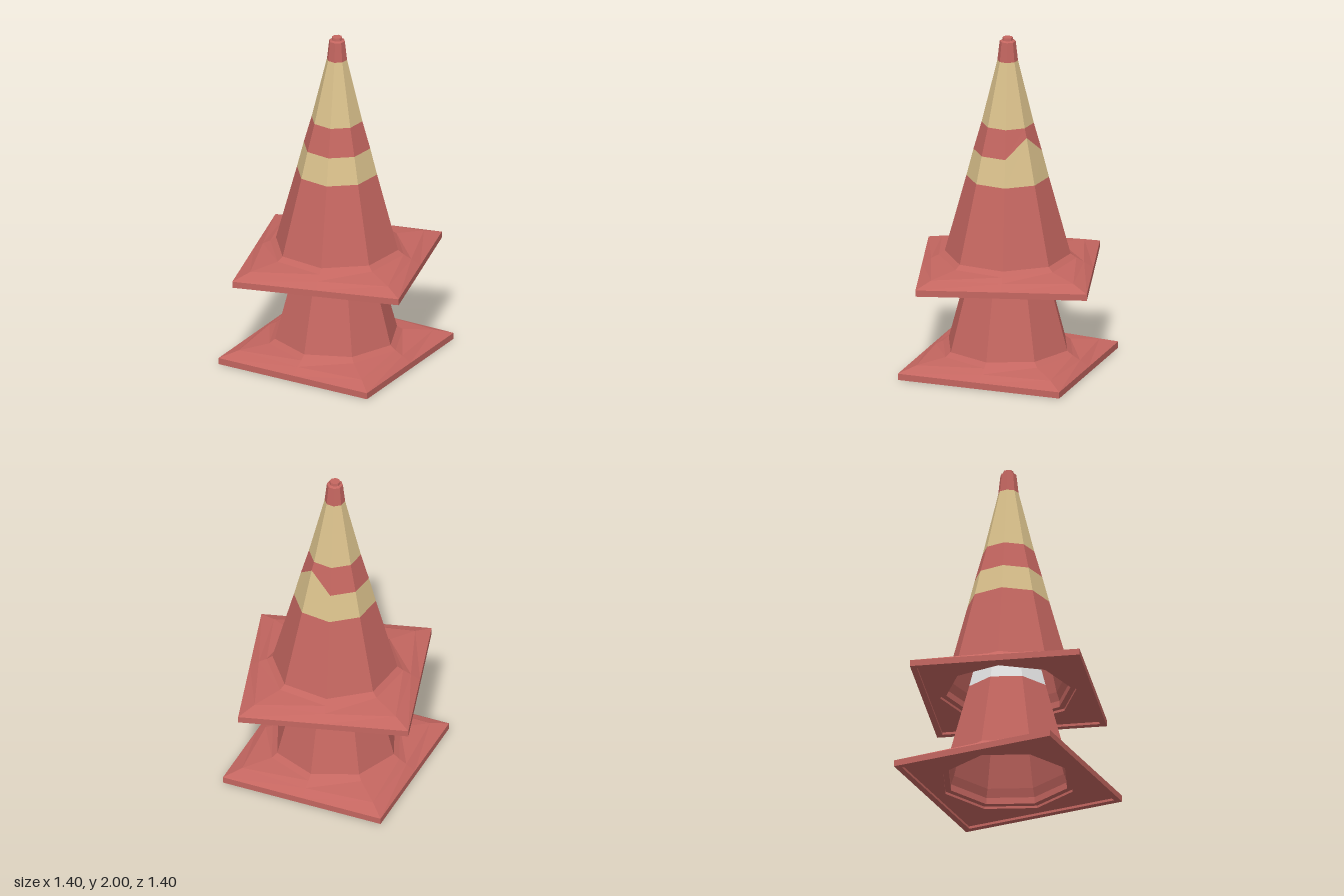
import * as THREE from 'three';

// Skin between eight-sided rings [corner radius, mid-side radius, y], listed along the profile.
// An optional fourth entry [radius, y] moves the vertex at index 6.
function loft(rings, material, name) {
  const point = (ring, k) => {
    k %= 8;
    let r = k % 2 ? ring[1] : ring[0];
    let y = ring[2];
    if (ring[3] && k === 6) [r, y] = ring[3];
    const a = k * Math.PI / 4;
    return [r * Math.cos(a), y, r * Math.sin(a)];
  };
  const pos = [];
  for (let i = 0; i < rings.length - 1; i++) {
    for (let k = 0; k < 8; k++) {
      const a = point(rings[i], k), b = point(rings[i], k + 1);
      const c = point(rings[i + 1], k), d = point(rings[i + 1], k + 1);
      if (rings[i][0] > 0) pos.push(...a, ...c, ...b);
      if (rings[i + 1][0] > 0) pos.push(...b, ...c, ...d);
    }
  }
  const geo = new THREE.BufferGeometry();
  geo.setAttribute('position', new THREE.Float32BufferAttribute(pos, 3));
  geo.computeVertexNormals(); // unshared corners keep the facets flat
  const mesh = new THREE.Mesh(geo, material);
  mesh.name = name;
  return mesh;
}

const oct = (r, y, moved) => [r, r, y, moved];
const square = (r, y) => [r, r * Math.SQRT1_2, y];

function makeCone(name, red, stripe) {
  const cone = new THREE.Group();
  cone.name = name;

  // Heights of the colour changes; one vertex of the lower stripe rises to a point
  const low = oct(0.24, 0.587);
  const lowTop = oct(0.199, 0.748, [0.169, 0.86]);
  const high = oct(0.152, 0.915);
  const highTop = oct(0.06, 1.295);

  cone.add(
    // Hollow inside and recessed underside
    loft([oct(0, 1.37), oct(0.03, 1.36), oct(0.14, 0.91), oct(0.228, 0.585), oct(0.345, 0.12),
      oct(0.365, 0.07), oct(0.365, 0.03), oct(0.4, 0.03), oct(0.4, 0.015),
      square(0.655, 0.015), square(0.655, 0), square(0.705, 0)], red, 'underside'),
    // Square foot rising to the eight-sided collar
    loft([square(0.705, 0), square(0.705, 0.038), [0.585, 0.445, 0.073],
      oct(0.4, 0.097), oct(0.366, 0.122)], red, 'foot'),
    loft([oct(0.366, 0.122), low], red, 'lowerBody'),
    loft([low, lowTop], stripe, 'lowerStripe'),
    loft([lowTop, high], red, 'middleBand'),
    loft([high, highTop], stripe, 'upperStripe'),
    // Tip with a small raised cap
    loft([highTop, oct(0.047, 1.412), oct(0.032, 1.418), oct(0.03, 1.435), oct(0, 1.435)], red, 'tip'),
  );
  return cone;
}

export function createModel() {
  const red = new THREE.MeshStandardMaterial({ color: 0xc46660 });
  red.name = 'faded red';
  const yellow = new THREE.MeshStandardMaterial({ color: 0xd9c08b });
  yellow.name = 'sand yellow';
  const white = new THREE.MeshStandardMaterial({ color: 0xe4e4e4 });
  white.name = 'white';

  const model = new THREE.Group();
  model.name = 'stackedTrafficCones';

  // Two nested cones, each turned a little differently
  const lower = makeCone('lowerCone', red, white);
  lower.position.set(-0.01, 0, 0);
  lower.rotation.y = -THREE.MathUtils.degToRad(23.7);

  const upper = makeCone('upperCone', red, yellow);
  upper.position.set(-0.004, 0.565, -0.003);
  upper.rotation.y = -THREE.MathUtils.degToRad(8);

  model.add(lower, upper);
  return model;
}
